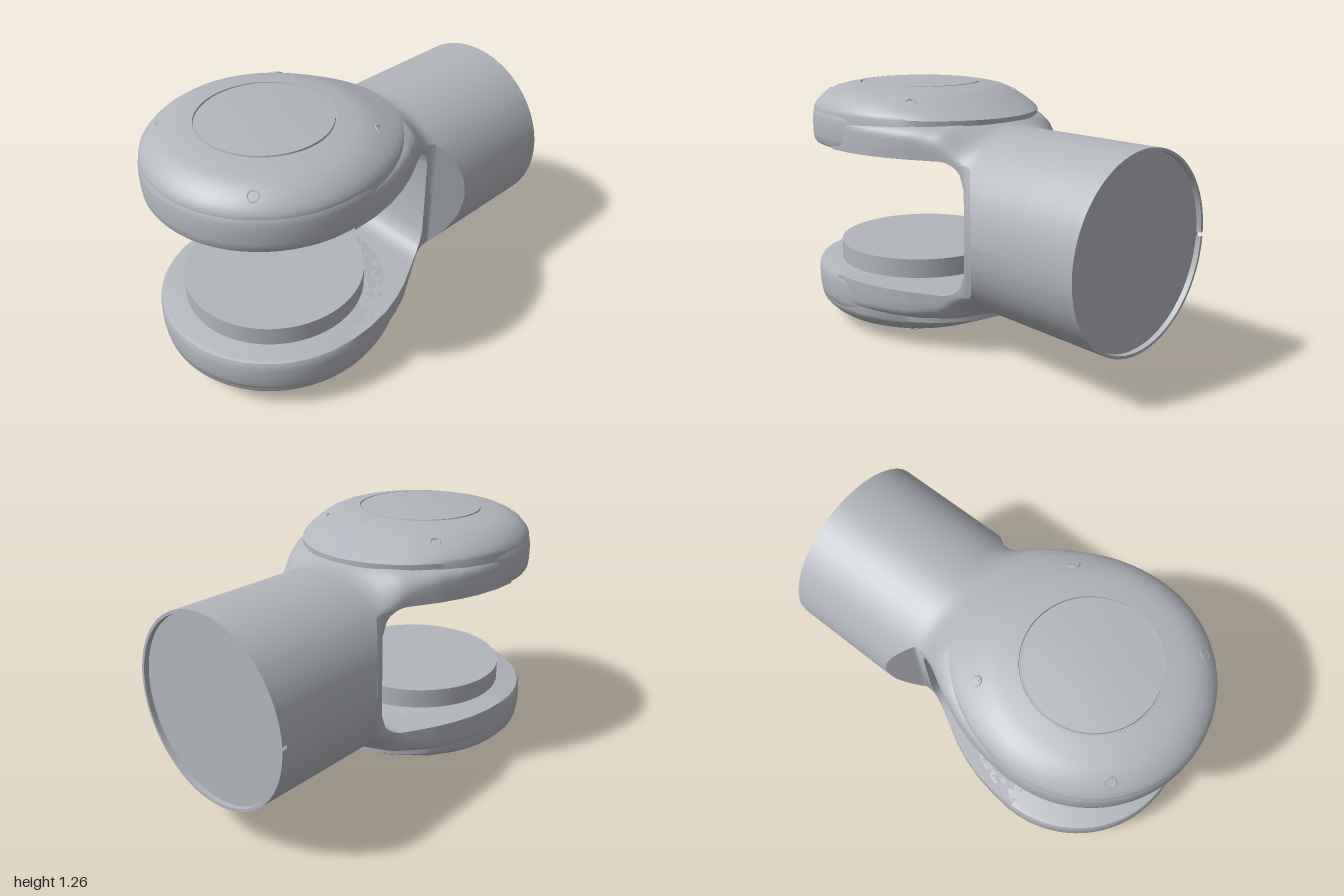
import * as THREE from 'three';
import { toCreasedNormals } from 'three/addons/utils/BufferGeometryUtils.js';

const MID = 0.63, TUBE = 0.45, HUB_Z = 0.44, WALL_Z = -0.26;
const V = (x, y) => new THREE.Vector2(x, y);

// Linear lookup in a table of [z, value], z falling
function lookup(table, z) {
  if (z >= table[0][0]) return table[0][1];
  for (let i = 1; i < table.length; i++) {
    const [z0, v0] = table[i - 1], [z1, v1] = table[i];
    if (z >= z1) return v0 + (v1 - v0) * (z0 - z) / (z0 - z1);
  }
  return table[table.length - 1][1];
}

// Half width, crown height, edge height and squareness of the arm along z
const WIDTH = [[0.44, 0.557], [0.32, 0.553], [0.2, 0.533], [0.1, 0.502], [0, 0.46], [-0.1, 0.405],
  [-0.16, 0.372], [-0.22, 0.345], [-0.26, 0.334], [-0.3, 0.333], [-0.43, TUBE]];
const CROWN = [[-0.1, 1.12], [-0.2, 1.113], [-0.3, 1.085]];
const EDGE = [[0.44, 0.96], [0.2, 0.975], [0, 1.0], [-0.15, 0.98], [-0.3, 0.935]];
const SQUARE = [[0.44, 9], [0.2, 6], [-0.1, 3], [-0.3, 2.2]];

// Upper half of the yoke: an arm that flows through the web into the tube
function yokeHalf() {
  const rows = [];
  for (let i = 0; i <= 35; i++) rows.push([HUB_Z - i * 0.02, false]);
  for (let i = 0; i <= 16; i++) rows.push([WALL_Z - i * 0.17 / 16, true]);
  rows.push([-0.7, true], [-0.975, true]);
  const N = 48, ring = 2 * (N + 1), pos = [], index = [];
  for (const [z, closed] of rows) {
    const w = lookup(WIDTH, z), c = lookup(CROWN, z), e = lookup(EDGE, z), n = lookup(SQUARE, z);
    const t = THREE.MathUtils.smoothstep(z, -0.32, -0.12);
    // underside: slot ceiling with a rounded corner, then the mid plane
    const dz = Math.min(0, z + 0.14);
    const under = closed ? MID : 0.83 + Math.sqrt(Math.max(0, 0.0144 - dz * dz));
    const us = Array.from({ length: N + 1 }, (_, j) => Math.sin((j / N - 0.5) * Math.PI));
    for (const u of us) {
      const x = u * w;
      const round = MID + Math.sqrt(Math.max(0, TUBE * TUBE - x * x));
      const square = e + (c - e) * Math.pow(Math.max(0, 1 - Math.pow(Math.abs(u), n)), 1 / n);
      const y = round + (square - round) * t;
      pos.push(x, Math.max(y, closed ? MID : under + 0.004), z);
    }
    for (const u of us) pos.push(-u * w, under, z);
  }
  for (let i = 0; i < rows.length - 1; i++) {
    for (let j = 0; j < ring; j++) {
      if (rows[i][1] && j > N && j < ring - 1) continue; // nothing on the mid plane
      const k = (j + 1) % ring, a = i * ring, b = a + ring;
      index.push(a + j, a + k, b + j, a + k, b + k, b + j);
    }
  }
  const g = new THREE.BufferGeometry();
  g.setAttribute('position', new THREE.Float32BufferAttribute(pos, 3));
  g.setIndex(index);
  return toCreasedNormals(g, 0.6);
}

// Domed cover with a round groove, stretched into an oval at the back
function coverGeometry() {
  const g = new THREE.LatheGeometry([
    V(0.552, 1.03), V(0.552, 1.12), V(0.546, 1.138), V(0.53, 1.158), V(0.51, 1.178), V(0.48, 1.2),
    V(0.44, 1.218), V(0.4, 1.228), V(0.35, 1.237), V(0.311, 1.243), V(0.309, 1.234), V(0.302, 1.234),
    V(0.3, 1.244), V(0.2, 1.253), V(0.1, 1.258), V(0, 1.26)], 96);
  const p = g.attributes.position;
  for (let i = 0; i < p.count; i++) {
    const x = p.getX(i), y = p.getY(i), z = p.getZ(i), r = Math.hypot(x, z);
    if (z >= 0 || r <= 0.441) continue;
    const s = x / r, c = z / r;
    const reach = 1 / Math.hypot(s / 0.552, c / 0.65);
    const k = (r - 0.44) / 0.112, nr = 0.44 + k * (reach - 0.44);
    p.setX(i, s * nr);
    p.setZ(i, c * nr);
    if (y > 1.1) p.setY(i, y + (1.218 - 0.098 * k - y) * c * c);
  }
  return toCreasedNormals(g, 0.6);
}

export function createModel() {
  const metal = new THREE.MeshStandardMaterial({ color: 0xb2b6bc });
  metal.name = 'grey metal';
  const model = new THREE.Group();
  model.name = 'wristYoke';
  const add = (parent, geometry, name, x = 0, y = 0, z = 0) => {
    const m = new THREE.Mesh(geometry, metal);
    m.name = name;
    m.position.set(x, y, z);
    parent.add(m);
    return m;
  };

  const arm = yokeHalf(), cover = coverGeometry();
  const hub = toCreasedNormals(new THREE.LatheGeometry([
    V(0, 0.95), V(0.535, 0.95), V(0.55, 0.955), V(0.558, 0.97), V(0.561, 1.0), V(0.561, 1.05),
    V(0.558, 1.085), V(0.552, 1.115), V(0.545, 1.122), V(0, 1.122)], 96), 0.6);
  const rim = new THREE.TorusGeometry(0.023, 0.006, 8, 24).rotateX(Math.PI / 2);
  const head = new THREE.CylinderGeometry(0.012, 0.012, 0.006, 6);

  // Both halves are alike, the lower one turned over
  for (const side of ['upper', 'lower']) {
    const half = new THREE.Group();
    half.name = side + 'Half';
    add(half, arm, side + 'Arm');
    add(half, hub, side + 'Hub', 0, 0, HUB_Z);
    add(half, cover, side + 'Cover', 0, 0, HUB_Z);
    for (const sx of [-1, 1]) for (const sz of [-1, 1]) {
      const screw = new THREE.Group();
      screw.name = 'coverScrew';
      add(screw, rim, 'screwRim');
      add(screw, head, 'screwHead');
      screw.position.set(sx * 0.348, sz > 0 ? 1.186 : 1.189, HUB_Z + sz * 0.348);
      screw.quaternion.setFromUnitVectors(new THREE.Vector3(0, 1, 0),
        new THREE.Vector3(sx * 0.45, 0.8, sz * 0.42).normalize());
      half.add(screw);
    }
    if (side === 'lower') {
      half.rotation.z = Math.PI;
      half.position.y = 2 * MID;
    }
    model.add(half);
  }

  // Turntable on the lower hub
  add(model, new THREE.CylinderGeometry(0.437, 0.437, 0.1, 96), 'turntable', 0, 0.357, HUB_Z);

  // Recessed end plate and the thin notched rim around it
  add(model, new THREE.CircleGeometry(TUBE, 96).rotateY(Math.PI), 'endPlate', 0, MID, -0.975);
  const endRim = new THREE.LatheGeometry(
    [V(0.436, 0.025), V(0.436, 0), V(TUBE, 0), V(TUBE, 0.025)], 96, 0.02, Math.PI * 2 - 0.04);
  endRim.rotateY(-Math.PI / 2).rotateX(Math.PI / 2);
  add(model, toCreasedNormals(endRim, 0.6), 'endRim', 0, MID, -1);
  return model;
}
